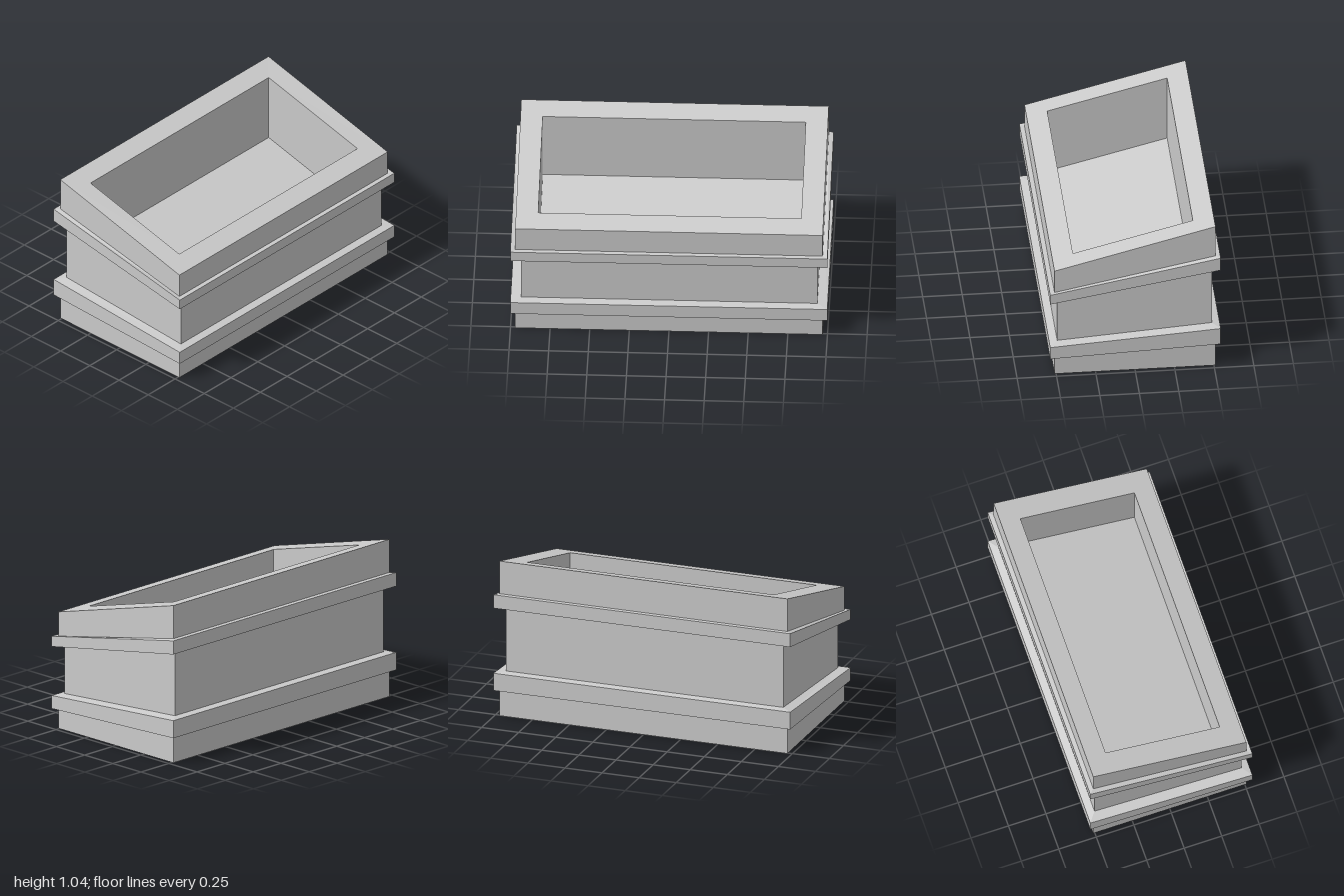
import * as THREE from 'three';

// Rectangular cross-section with a top that slopes from -x down to +x
const ring = (hx, hz, yNeg, yPos) => [
  [-hx, yNeg, hz], [hx, yPos, hz], [hx, yPos, -hz], [-hx, yNeg, -hz],
];

// Skin consecutive rings with flat quads, optionally closing one end
function loft(name, rings, material, { capBottom = false, capEnd = false } = {}) {
  const pos = [];
  const quad = (a, b, c, d) => [a, b, c, a, c, d].forEach((p) => pos.push(...p));
  for (let i = 0; i < rings.length - 1; i++) {
    const lo = rings[i], hi = rings[i + 1];
    for (let k = 0; k < 4; k++) {
      const n = (k + 1) % 4;
      quad(lo[k], lo[n], hi[n], hi[k]);
    }
  }
  if (capBottom) quad(...[...rings[0]].reverse());
  if (capEnd) quad(...rings[rings.length - 1]);
  const geometry = new THREE.BufferGeometry();
  geometry.setAttribute('position', new THREE.Float32BufferAttribute(pos, 3));
  geometry.computeVertexNormals();
  const mesh = new THREE.Mesh(geometry, material);
  mesh.name = name;
  return mesh;
}

export function createModel() {
  const group = new THREE.Group();
  group.name = 'slopedTrough';
  const material = new THREE.MeshStandardMaterial({ color: 0xcccccc, flatShading: true });

  // Cross-sections where neighbouring parts meet
  const baseTop = ring(0.51, 0.97, 0.174, 0.13);
  const bodyBottom = ring(0.49, 0.935, 0.299, 0.227);
  const bodyTop = ring(0.49, 0.935, 0.72, 0.538);
  const collarBottom = ring(0.51, 0.97, 0.821, 0.61);
  const rimOuter = ring(0.51, 0.97, 1.04, 0.77);
  const rimInner = ring(0.38, 0.83, 1.005, 0.805);
  const floor = ring(0.38, 0.83, 0.555, 0.355);

  group.add(
    // Plinth
    loft('base', [ring(0.51, 0.97, 0, 0), baseTop], material, { capBottom: true }),
    // Projecting bands, including their ledges
    loft('lowerBand', [
      baseTop, ring(0.54, 1, 0.176, 0.131), ring(0.54, 1, 0.292, 0.217), bodyBottom,
    ], material),
    loft('body', [bodyBottom, bodyTop], material),
    loft('upperBand', [
      bodyTop, ring(0.54, 1, 0.73, 0.541), ring(0.54, 1, 0.82, 0.609), collarBottom,
    ], material),
    // Sloping collar and rim
    loft('collar', [collarBottom, rimOuter, rimInner], material),
    // Inner walls and sloping floor
    loft('basin', [rimInner, floor], material, { capEnd: true }),
  );
  return group;
}
